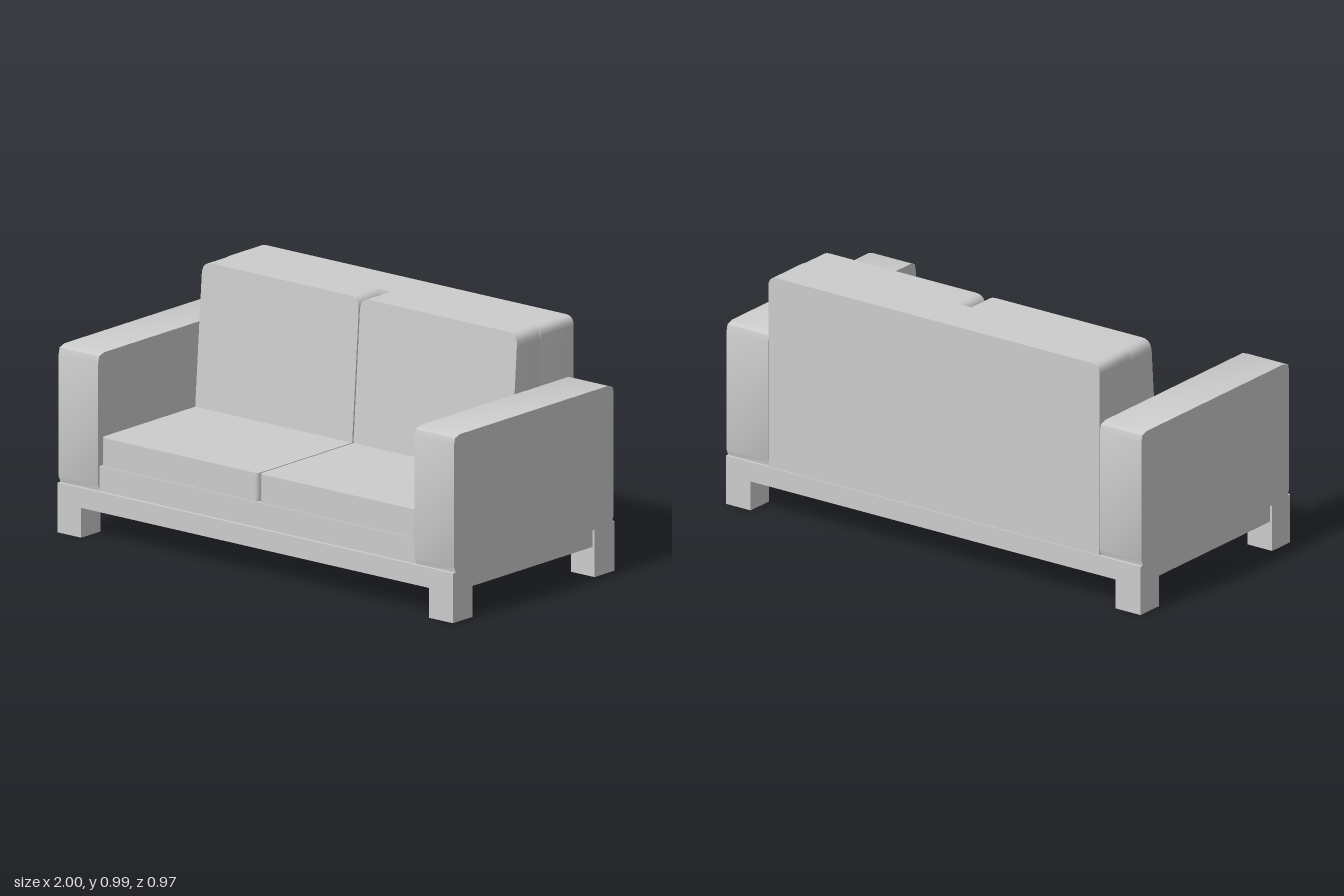
import * as THREE from 'three';
import { toCreasedNormals } from 'three/addons/utils/BufferGeometryUtils.js';

export function createModel() {
  const sofa = new THREE.Group();
  sofa.name = 'sofa';
  const fabric = new THREE.MeshStandardMaterial({ color: 0xcccccc });
  fabric.name = 'light grey';

  const add = (name, geometry) => {
    const mesh = new THREE.Mesh(geometry, fabric);
    mesh.name = name;
    sofa.add(mesh);
    return mesh;
  };

  // Box given by its limits on each axis
  const box = (name, x0, x1, y0, y1, z0, z1) => {
    const g = new THREE.BoxGeometry(x1 - x0, y1 - y0, z1 - z0);
    g.translate((x0 + x1) / 2, (y0 + y1) / 2, (z0 + z1) / 2);
    return add(name, g);
  };

  const extrude = (shape, depth) =>
    new THREE.ExtrudeGeometry(shape, { depth, bevelEnabled: false, curveSegments: 5 });

  // Panel outline whose two far corners are rounded by rx, ry
  const roundedTop = (x0, x1, y0, y1, rx, ry) => {
    const s = new THREE.Shape();
    s.moveTo(x0, y0);
    s.lineTo(x1, y0);
    s.lineTo(x1, y1 - ry);
    s.quadraticCurveTo(x1, y1, x1 - rx, y1);
    s.lineTo(x0 + rx, y1);
    s.quadraticCurveTo(x0, y1, x0, y1 - ry);
    s.closePath();
    return s;
  };

  // Legs at the four corners, and arms with softened ends
  const armProfile = [
    [0.472, 0.19], [0.472, 0.205], [0.48, 0.225], [0.48, 0.715],
    [0.474, 0.742], [0.445, 0.752],
  ];
  const armPoints = [...armProfile, ...armProfile.map(([z, y]) => [-z, y]).reverse()]
    .map(([z, y]) => new THREE.Vector2(-z, y));
  for (const side of [-1, 1]) {
    const x0 = side > 0 ? 0.88 : -1;
    box('frontLeg', x0, x0 + 0.12, 0, 0.2, 0.37, 0.487);
    box('backLeg', x0, x0 + 0.12, 0, 0.2, -0.485, -0.365);

    const g = extrude(new THREE.Shape(armPoints), 0.2);
    g.rotateY(Math.PI / 2);
    g.translate(side > 0 ? 0.8 : -1, 0, 0);
    add('armrest', toCreasedNormals(g, 0.8));
  }

  // Low frame: flush at front and back, set in at the sides
  box('frontRail', -0.88, 0.88, 0.12, 0.2, 0.37, 0.487);
  box('backRail', -0.88, 0.88, 0.12, 0.2, -0.485, -0.365);
  box('underFrame', -0.99, 0.99, 0.12, 0.19, -0.37, 0.37);
  box('seatBase', -0.8, 0.8, 0.19, 0.3, -0.47, 0.472);

  // Back frame with rounded upper corners
  const back = extrude(roundedTop(-0.798, 0.798, 0.2, 0.99, 0.04, 0.04), 0.2);
  back.translate(0, 0, -0.48);
  add('backFrame', toCreasedNormals(back, 0.6));

  for (const side of [-1, 1]) {
    const x0 = side > 0 ? 0.003 : -0.797;
    const x1 = x0 + 0.794;

    // Seat cushion, rounded at its front corners
    const seat = extrude(roundedTop(x0, x1, -0.28, 0.467, 0.018, 0.03), 0.115);
    seat.scale(1, 1, -1);
    seat.rotateX(Math.PI / 2);
    // Mirroring reversed the faces, so swap two corners of each triangle
    const p = seat.attributes.position;
    const a = new THREE.Vector3(), b = new THREE.Vector3();
    for (let i = 0; i < p.count; i += 3) {
      a.fromBufferAttribute(p, i + 1);
      b.fromBufferAttribute(p, i + 2);
      p.setXYZ(i + 1, b.x, b.y, b.z);
      p.setXYZ(i + 2, a.x, a.y, a.z);
    }
    seat.translate(0, 0.3, 0);
    seat.computeVertexNormals();
    add('seatCushion', toCreasedNormals(seat, 0.6));

    // Back cushion, its front face leaning backwards towards the top
    const cushion = extrude(roundedTop(x0, x1, 0.4, 0.99, 0.045, 0.05), 0.18);
    const q = cushion.attributes.position;
    for (let i = 0; i < q.count; i++) {
      const front = q.getZ(i) > 0.1;
      q.setZ(i, front ? -0.1 - 0.0745 * (q.getY(i) - 0.415) : -0.28);
    }
    cushion.computeVertexNormals();
    add('backCushion', toCreasedNormals(cushion, 0.6));
  }

  return sofa;
}
